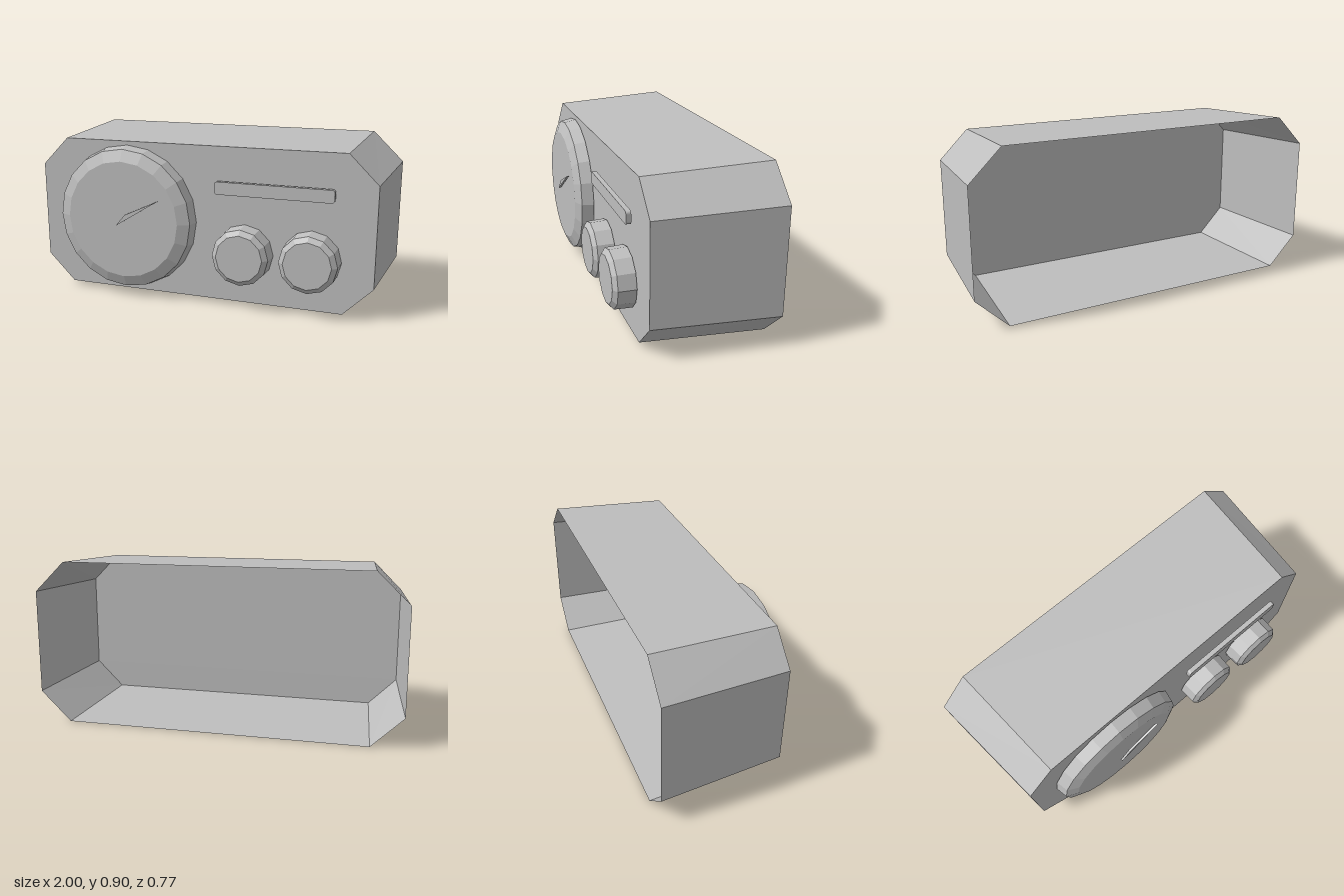
import * as THREE from 'three';

const grey = new THREE.MeshStandardMaterial({ color: 0xbebebe, flatShading: true, side: THREE.DoubleSide });
grey.name = 'grey';

function add(group, name, geometry, x = 0, y = 0, z = 0) {
  const mesh = new THREE.Mesh(geometry, grey);
  mesh.name = name;
  mesh.position.set(x, y, z);
  group.add(mesh);
}

// Octagon outline with cut corners, counter-clockwise seen from +z
function octagon(w, cutX, h, cutY, z) {
  return [[w, -cutY], [w, cutY], [cutX, h], [-cutX, h], [-w, cutY], [-w, -cutY], [-cutX, -h], [cutX, -h]]
    .map(([x, y]) => [x, y + 0.45, z]);
}

// Tapered casing: closed at the front, open at the back
function casingGeometry() {
  const front = octagon(0.945, 0.79, 0.424, 0.269, 0.27);
  const back = octagon(1, 0.83, 0.45, 0.284, -0.387);
  const index = [];
  for (let i = 0; i < 8; i++) {
    const j = (i + 1) % 8;
    index.push(i, i + 8, j + 8, i, j + 8, j);
    if (i > 0 && i < 7) index.push(0, i, i + 1);
  }
  const geometry = new THREE.BufferGeometry();
  geometry.setAttribute('position', new THREE.Float32BufferAttribute([...front, ...back].flat(), 3));
  geometry.setIndex(index);
  const flat = geometry.toNonIndexed();
  flat.computeVertexNormals();
  return flat;
}

// Turned part facing +z, profile given as [radius, z]
function turned(profile, sides) {
  return new THREE.LatheGeometry(profile.map(([r, z]) => new THREE.Vector2(r, z)), sides).rotateX(Math.PI / 2);
}

export function createModel() {
  const group = new THREE.Group();
  group.name = 'radio';
  add(group, 'casing', casingGeometry());

  // Large round dial with a bevelled rim
  add(group, 'dial', turned([[0.401, 0.274], [0.388, 0.34], [0.325, 0.367], [0, 0.367]], 20), -0.415, 0.452);

  // Pointer on the dial
  const pointer = new THREE.Shape([[-0.446, 0.422], [-0.193, 0.578], [-0.388, 0.488]]
    .map(([x, y]) => new THREE.Vector2(x, y)));
  add(group, 'pointer', new THREE.ExtrudeGeometry(pointer, { depth: 0.012, bevelEnabled: false }), 0, 0, 0.374);

  // Two control knobs
  for (const [name, x] of [['rightKnob', 0.26], ['leftKnob', 0.62]]) {
    add(group, name, turned([[0.157, 0.274], [0.153, 0.367], [0.126, 0.388], [0, 0.388]], 12), x, 0.307);
  }

  // Tuning bar with rounded ends
  const w = 0.317, h = 0.034, r = 0.015;
  const bar = new THREE.Shape();
  bar.absarc(w - r, h - r, r, 0, Math.PI / 2);
  bar.absarc(-w + r, h - r, r, Math.PI / 2, Math.PI);
  bar.absarc(-w + r, -h + r, r, Math.PI, Math.PI * 1.5);
  bar.absarc(w - r, -h + r, r, Math.PI * 1.5, Math.PI * 2);
  add(group, 'tuningBar', new THREE.ExtrudeGeometry(bar, { depth: 0.026, bevelEnabled: false, curveSegments: 3 }),
    0.418, 0.659, 0.289);

  return group;
}
